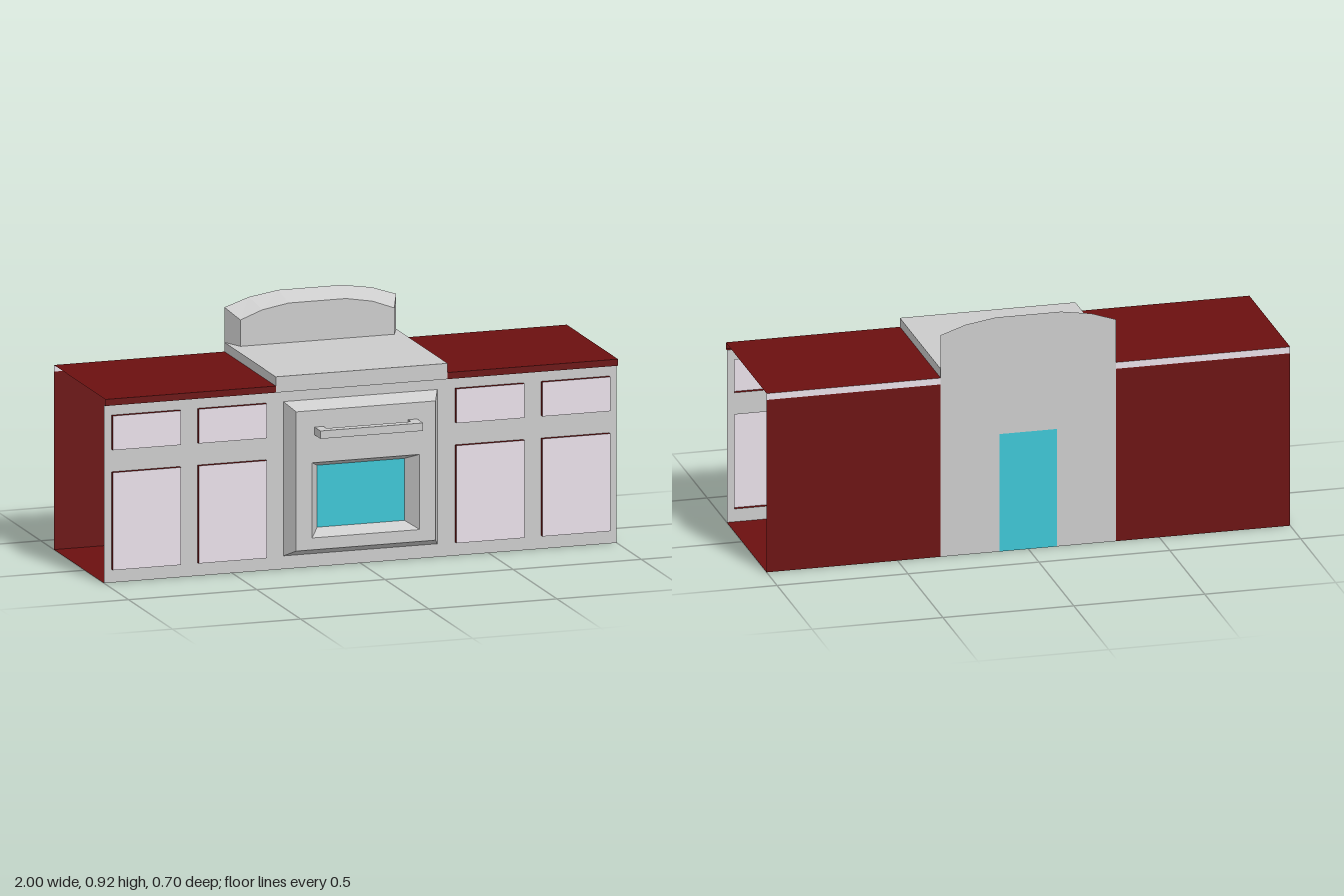
import * as THREE from 'three';

const material = (color) => new THREE.MeshStandardMaterial({ color, side: THREE.DoubleSide, flatShading: true });
const grey = material(0xcccccc);
const red = material(0x6b1010);
const pale = material(0xe8dfe8);
const teal = material(0x3dc5d4);

// Main dimensions
const BACK = -0.35, FACE = 0.22, FRONT = 0.235;
const STOVE = 0.335, COUNTER = 0.7, LIP = 0.675, HOB = 0.735;

const rect = (x0, x1, y0, y1) => [[x0, y0], [x1, y0], [x1, y1], [x0, y1]];
const toPath = (loop, Type) => new Type(loop.map(([x, y]) => new THREE.Vector2(x, y)));

export function createModel() {
  const model = new THREE.Group();

  const add = (name, geometry, mat) => {
    const mesh = new THREE.Mesh(geometry, mat);
    mesh.name = name;
    model.add(mesh);
    return mesh;
  };

  // Flat sheet at depth z, optionally with holes
  const sheet = (name, mat, loop, z, holes = [], facesBack = false) => {
    const shape = toPath(loop, THREE.Shape);
    shape.holes = holes.map((h) => toPath(h, THREE.Path));
    const geometry = new THREE.ShapeGeometry(shape);
    if (facesBack) geometry.scale(-1, 1, 1).rotateY(Math.PI).scale(1, 1, 1).translate(0, 0, z);
    else geometry.translate(0, 0, z);
    return add(name, geometry, mat);
  };

  // Horizontal sheet at height y
  const level = (name, mat, x0, x1, z0, z1, y, down = false) => {
    const geometry = new THREE.PlaneGeometry(x1 - x0, z1 - z0);
    geometry.rotateX(down ? Math.PI / 2 : -Math.PI / 2);
    geometry.translate((x0 + x1) / 2, y, (z0 + z1) / 2);
    return add(name, geometry, mat);
  };

  // Band of faces joining loop a at depth za (rear) to loop b at depth zb (front)
  const band = (name, mat, a, za, b, zb, closed = true) => {
    const points = [];
    const count = closed ? a.length : a.length - 1;
    for (let i = 0; i < count; i++) {
      const j = (i + 1) % a.length;
      const [p, q, r, s] = [[...a[i], za], [...a[j], za], [...b[j], zb], [...b[i], zb]];
      points.push(...p, ...q, ...r, ...p, ...r, ...s);
    }
    const geometry = new THREE.BufferGeometry();
    geometry.setAttribute('position', new THREE.Float32BufferAttribute(points, 3));
    geometry.computeVertexNormals();
    return add(name, geometry, mat);
  };

  // Cabinet doors and drawers, raised from openings in the front frame
  const openings = [];
  for (const side of [-1, 1]) {
    for (const centre of [0.5025, 0.8375]) {
      for (const [y0, y1, name] of [[0.05, 0.42, 'cabinetDoor'], [0.505, 0.635, 'drawerFront']]) {
        const x = side * centre;
        const loop = rect(x - 0.1325, x + 0.1325, y0, y1);
        openings.push(loop);
        sheet(name, pale, loop, FRONT);
        band(name + 'Edge', red, loop, FACE, loop, FRONT);
      }
    }
  }

  // Oven door: bevelled block with a sunken window
  const ovenBase = rect(-0.3, 0.3, 0.05, 0.635);
  const ovenFace = rect(-0.272, 0.272, 0.08, 0.608);
  const windowRim = rect(-0.21, 0.21, 0.125, 0.41);
  const windowPane = rect(-0.17, 0.17, 0.15, 0.385);
  band('ovenDoorBevel', grey, ovenBase, FACE, ovenFace, 0.283);
  sheet('ovenDoorFace', grey, ovenFace, 0.283, [windowRim]);
  band('ovenWindowRecess', grey, windowRim, 0.283, windowPane, 0.225);
  sheet('ovenWindow', teal, windowPane, 0.225);

  // Front frame around all openings
  sheet('frontFrame', grey, rect(-1, 1, 0, LIP), FACE, [...openings, ovenBase]);

  // Oven handle: U-shaped bar
  const handle = [[-0.2, 0.283], [-0.2, 0.35], [0.2, 0.35], [0.2, 0.283],
    [0.165, 0.283], [0.165, 0.315], [-0.165, 0.315], [-0.165, 0.283]];
  const bar = new THREE.ExtrudeGeometry(toPath(handle, THREE.Shape), { depth: 0.03, bevelEnabled: false });
  bar.rotateX(Math.PI / 2).translate(0, 0.545, 0);
  add('ovenHandle', bar, grey);

  // Counters, back panels and floors on both sides; the ends stay open
  for (const side of [-1, 1]) {
    const [x0, x1] = side < 0 ? [-1, -STOVE] : [STOVE, 1];
    level('counterTop', red, x0, x1, BACK, FRONT, COUNTER);
    sheet('counterLip', red, rect(x0, x1, LIP, COUNTER), FRONT);
    level('counterLipUnderside', red, x0, x1, FACE, FRONT, LIP, true);
    sheet('counterBackEdge', pale, rect(x0, x1, LIP, COUNTER), BACK, [], true);
    sheet('cabinetBack', red, rect(x0, x1, 0, LIP), BACK, [], true);
    level('cabinetFloor', red, x0, x1, BACK, FACE, 0, true);
    const [s0, s1] = side < 0 ? [-STOVE, -0.11] : [0.11, STOVE];
    level('stoveFloor', grey, s0, s1, BACK, FACE, 0, true);
  }
  level('stoveFloorStrip', teal, -0.11, 0.11, BACK, FACE, 0, true);

  // Hob slab
  level('hobTop', grey, -STOVE, STOVE, BACK, FRONT, HOB);
  sheet('hobFront', grey, rect(-STOVE, STOVE, LIP, HOB), FRONT);
  level('hobUnderside', grey, -STOVE, STOVE, FACE, FRONT, LIP, true);
  const hobEnds = [[-STOVE, COUNTER], [-STOVE, HOB]];
  for (const side of [-1, 1]) {
    const edge = hobEnds.map(([x, y]) => [-side * x, y]);
    band('hobSide', grey, side > 0 ? edge : [...edge].reverse(), BACK, side > 0 ? edge : [...edge].reverse(), FRONT, false);
  }

  // Arched splashback, tapering towards the front
  const mirror = (half) => [...half, ...half.map(([x, y]) => [-x, y]).reverse()];
  const rearArch = mirror([[STOVE, HOB], [STOVE, 0.868], [0.24, 0.9], [0.125, 0.918]]);
  const frontArch = mirror([[0.3, HOB], [0.3, 0.835], [0.215, 0.867], [0.112, 0.885]]);
  band('splashbackRim', grey, rearArch, BACK, frontArch, -0.27, false);
  sheet('splashbackFace', grey, frontArch, -0.27);

  // Stove back with its coloured panel
  const panel = rect(-0.11, 0.11, 0, 0.46);
  const backOutline = [[-STOVE, 0], [-0.11, 0], [-0.11, 0.46], [0.11, 0.46], [0.11, 0], [STOVE, 0], ...rearArch.slice(1, -1)];
  sheet('stoveBack', grey, backOutline, BACK, [], true);
  sheet('stoveBackPanel', teal, panel, BACK, [], true);

  return model;
}
